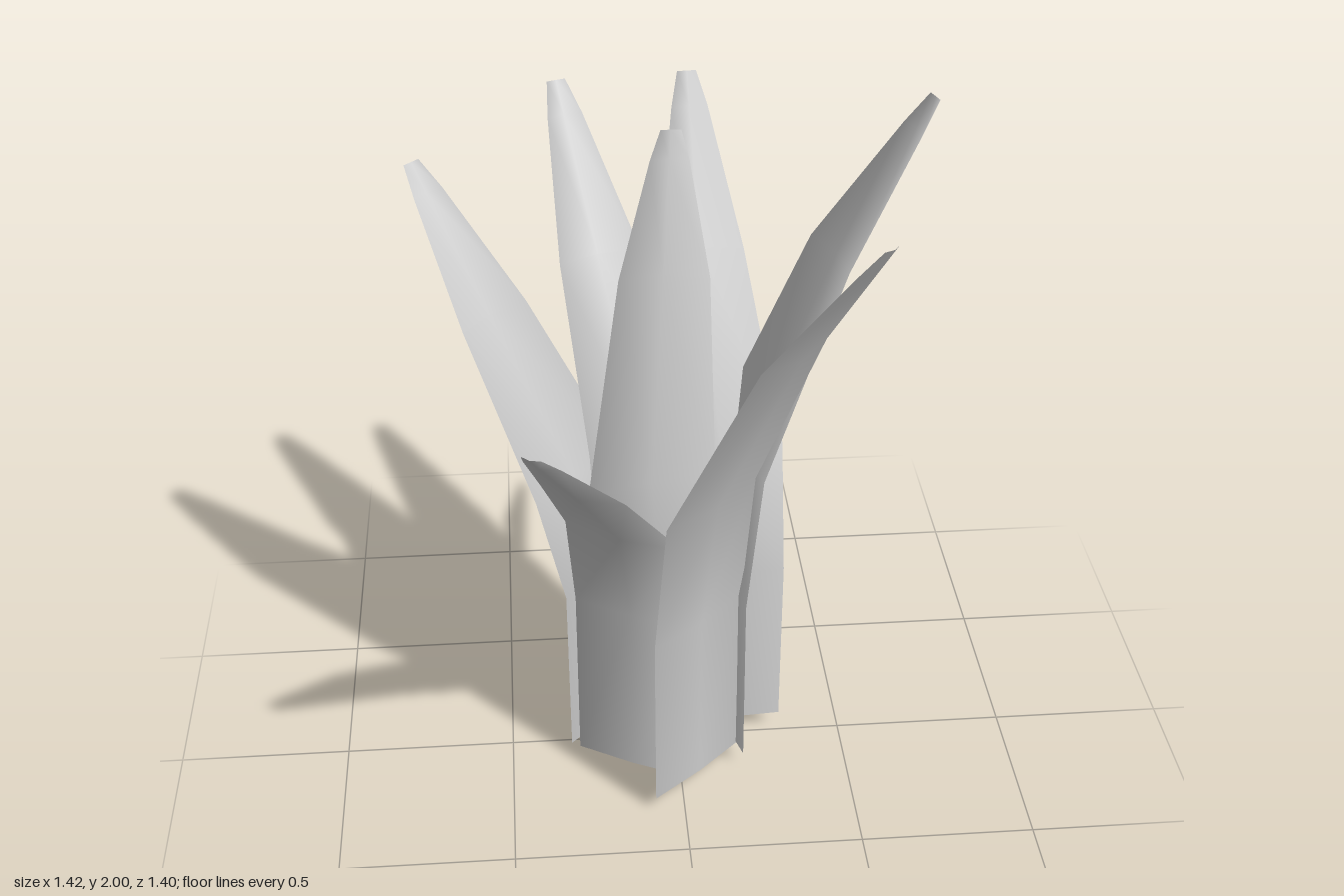
import * as THREE from 'three';

// Blade widths and midrib depth at foot, shoulder, knee, middle, neck and tip
const WIDTHS = [0.355, 0.355, 0.35, 0.245, 0.105, 0.055];
const CUPS = [0.004, 0.008, 0.02, 0.024, 0.012, 0.004];
const HALF_THICKNESS = 0.004;
const EDGE_ROUNDING = 0.7;

// Each leaf: outward direction (x, z), foot tilt, and centre line through foot, shoulder, knee, middle, tip
const LEAVES = [
  { name: 'frontLeftLeaf', out: [0.66, 0.75], tilt: 0,
    path: [[0.05, 0.045, 0.215], [0.05, 0.6, 0.215], [0.083, 1.03, 0.262], [0.265, 1.59, 0.45], [0.442, 1.99, 0.657]] },
  { name: 'frontRightLeaf', out: [-0.46, 0.89], tilt: 0,
    path: [[-0.14, 0.045, 0.165], [-0.14, 0.6, 0.165], [-0.167, 0.91, 0.222], [-0.28, 1.19, 0.428], [-0.402, 1.48, 0.685]] },
  { name: 'leftLeaf', out: [0.957, -0.29], tilt: 0,
    path: [[0.14, 0.05, -0.01], [0.14, 0.6, -0.01], [0.19, 1.02, -0.022], [0.435, 1.59, -0.1], [0.7, 2.0, -0.18]] },
  { name: 'rightLeaf', out: [-0.71, -0.71], tilt: 0,
    path: [[-0.197, 0.05, -0.055], [-0.2, 0.6, -0.055], [-0.28, 0.93, -0.06], [-0.495, 1.4, -0.17], [-0.697, 1.775, -0.37]] },
  { name: 'backLeftLeaf', out: [-0.07, -1], tilt: 0,
    path: [[0.141, 0.05, -0.01], [0.141, 0.6, -0.01], [0.133, 1.01, -0.065], [0.1, 1.47, -0.385], [0.085, 1.88, -0.7]] },
  { name: 'backRightLeaf', out: [-0.34, -0.94], tilt: 0,
    path: [[-0.055, 0.05, -0.045], [-0.055, 0.6, -0.045], [-0.08, 1.01, -0.1], [-0.19, 1.47, -0.37], [-0.29, 1.88, -0.66]] },
  { name: 'centreLeaf', out: [0, -1], tilt: -0.016,
    path: [[-0.015, 0.016, 0.088], [-0.05, 0.6, 0.097], [-0.075, 1.0, 0.1], [-0.03, 1.57, -0.035], [0, 1.93, -0.18]] },
];

// One skin of a leaf: face = 1 for the outer side, -1 for the inner side
function skinGeometry(leaf, face) {
  const out = new THREE.Vector3(leaf.out[0], 0, leaf.out[1]).normalize();
  const side = new THREE.Vector3(out.z, 0, -out.x);
  const centres = leaf.path.map((p) => new THREE.Vector3(...p));
  centres.splice(4, 0, centres[3].clone().lerp(centres[4], 0.8));

  const positions = [];
  const index = [];
  centres.forEach((centre, row) => {
    // Three points across: edge, midrib, edge; the midrib is pushed outward
    for (let k = -1; k <= 1; k++) {
      const depth = k === 0 ? CUPS[row] * 0.5 + face * HALF_THICKNESS : -CUPS[row] * 0.5;
      const p = centre.clone()
        .addScaledVector(side, (k * WIDTHS[row]) / 2)
        .addScaledVector(out, depth);
      positions.push(p.x, p.y + (row < 3 ? leaf.tilt * k : 0), p.z);
    }
    if (row === 0) return;
    for (let c = 0; c < 2; c++) {
      const a = (row - 1) * 3 + c;
      const b = a + 3;
      if (face > 0) index.push(a, a + 1, b + 1, a, b + 1, b);
      else index.push(a, b + 1, a + 1, a, b, b + 1);
    }
  });
  const geometry = new THREE.BufferGeometry();
  geometry.setAttribute('position', new THREE.Float32BufferAttribute(positions, 3));
  geometry.setIndex(index);
  geometry.computeVertexNormals();

  // Lean the normals sideways at both edges so the thin blade reads as rounded
  const normals = geometry.attributes.normal;
  const n = new THREE.Vector3();
  for (let i = 0; i < normals.count; i++) {
    n.fromBufferAttribute(normals, i).addScaledVector(side, ((i % 3) - 1) * EDGE_ROUNDING).normalize();
    normals.setXYZ(i, n.x, n.y, n.z);
  }
  return geometry;
}

export function createModel() {
  const group = new THREE.Group();
  group.name = 'leafyPlant';
  const leafGrey = new THREE.MeshStandardMaterial({ color: 0xcccccc });
  leafGrey.name = 'leafGrey';
  for (const leaf of LEAVES) {
    const blade = new THREE.Group();
    blade.name = leaf.name;
    for (const face of [1, -1]) {
      const skin = new THREE.Mesh(skinGeometry(leaf, face), leafGrey);
      skin.name = face > 0 ? 'outerSkin' : 'innerSkin';
      blade.add(skin);
    }
    group.add(blade);
  }
  return group;
}
